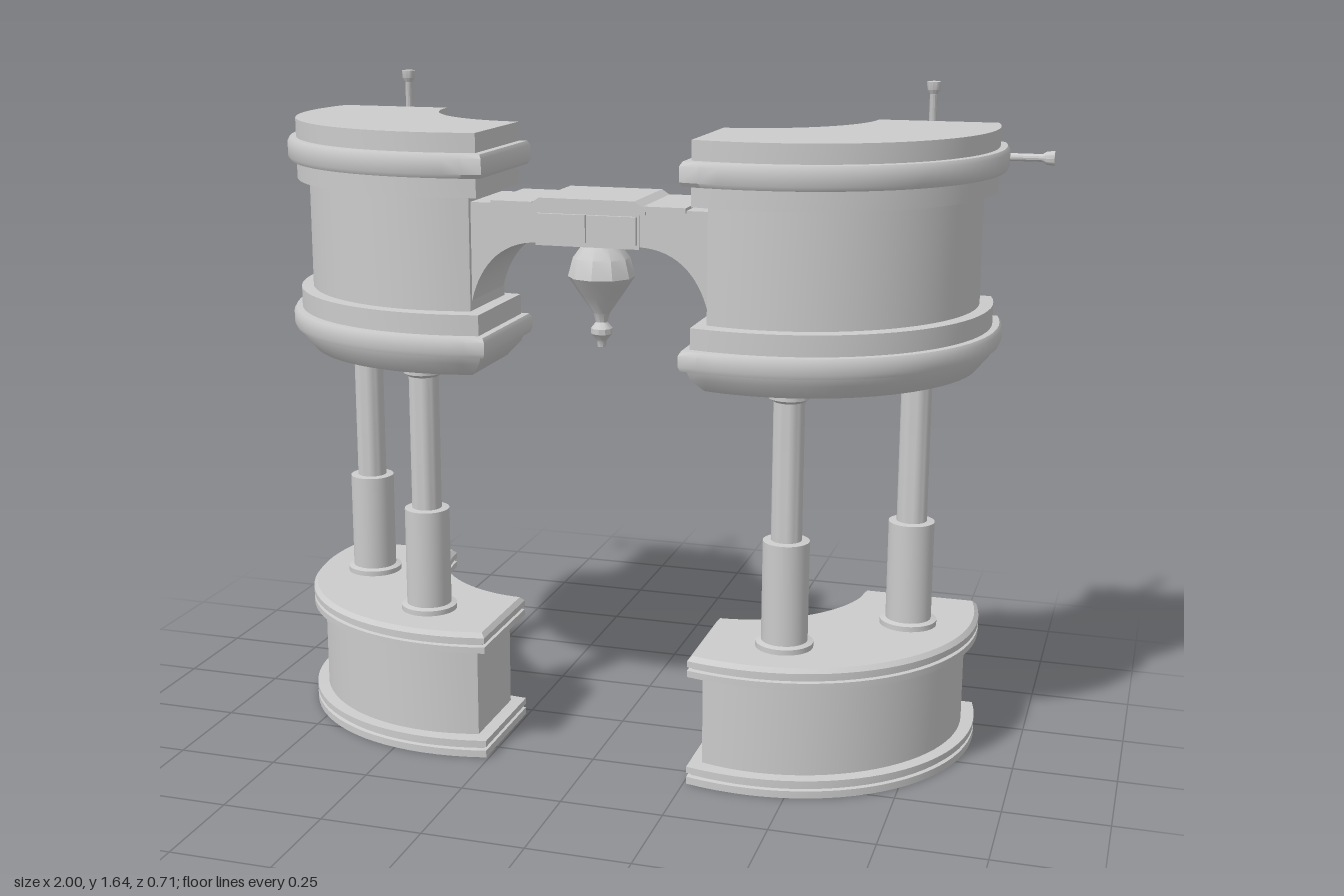
import * as THREE from 'three';
import { toCreasedNormals } from 'three/addons/utils/BufferGeometryUtils.js';

const material = new THREE.MeshStandardMaterial({ color: 0xcccccc });

function add(parent, name, geometry, x = 0, y = 0, z = 0) {
  const mesh = new THREE.Mesh(geometry, material);
  mesh.name = name;
  mesh.position.set(x, y, z);
  parent.add(mesh);
  return mesh;
}

// Curved quarter-bend footprint, drawn in by d on every side
function footprint(d) {
  const v = (x, z) => new THREE.Vector2(x + 0.235, z - 0.31);
  const o = 0.65 - d, oc = 0.75 - d, ob = 0.43 - 0.85 * d;
  const i = 0.315 + d, ic = 0.31 + d, ib = 0.19 + 0.22 * d;
  const outer = new THREE.CubicBezierCurve(v(o, d), v(oc, ob), v(ob, oc), v(d, o));
  const inner = new THREE.CubicBezierCurve(v(d, i), v(ib, ic), v(ic, ib), v(i, d));
  return [...outer.getPoints(28), ...inner.getPoints(28)];
}

// Stacks footprints along a profile of [height, inset] and closes both ends
function loft(profile) {
  const rings = profile.map(([, d]) => footprint(d));
  const n = rings[0].length, last = (rings.length - 1) * n;
  const positions = [], index = [];
  rings.forEach((ring, r) => ring.forEach(p => positions.push(p.x, profile[r][0], p.y)));
  for (let r = 0; r < rings.length - 1; r++) {
    for (let i = 0; i < n; i++) {
      const a = r * n + i, b = r * n + (i + 1) % n;
      index.push(a, a + n, b, b, a + n, b + n);
    }
  }
  for (const [a, b, c] of THREE.ShapeUtils.triangulateShape(rings[0], [])) index.push(a, b, c);
  for (const [a, b, c] of THREE.ShapeUtils.triangulateShape(rings.at(-1), [])) {
    index.push(last + a, last + c, last + b);
  }
  const g = new THREE.BufferGeometry();
  g.setAttribute('position', new THREE.Float32BufferAttribute(positions, 3));
  g.setIndex(index);
  return toCreasedNormals(g, 0.6);
}

function lathe(points, segments = 24) {
  const g = new THREE.LatheGeometry(points.map(([r, y]) => new THREE.Vector2(r, y)), segments);
  return toCreasedNormals(g, 0.6);
}

// Box whose lower end is narrowed and shifted
function taperedBox(w, h, d, scaleX, scaleZ, shiftZ) {
  const g = new THREE.BoxGeometry(w, h, d).toNonIndexed();
  const p = g.attributes.position;
  for (let i = 0; i < p.count; i++) {
    if (p.getY(i) < 0) {
      p.setX(i, p.getX(i) * scaleX);
      p.setZ(i, p.getZ(i) * scaleZ + shiftZ);
    }
  }
  g.computeVertexNormals();
  return g;
}

// Valve with an upright and a crosswise rod on the back end of a tower
function makeValve() {
  const valve = new THREE.Group();
  valve.name = 'valve';
  const z = -0.33;
  add(valve, 'uprightRod', lathe([[0, 1.28], [0.0095, 1.28], [0.0095, 1.605], [0.016, 1.615],
    [0.018, 1.635], [0, 1.637]], 12), 0.697, 0, z);
  const cross = add(valve, 'crossRod', lathe([[0, -0.1], [0.016, -0.07], [0.007, -0.055], [0.0095, -0.04],
    [0.0095, 0.27], [0.016, 0.28], [0.018, 0.3], [0, 0.303]], 12), 0.697, 1.457, z);
  cross.rotation.z = -Math.PI / 2;
  add(valve, 'hub', new THREE.SphereGeometry(0.022, 12, 8), 0.697, 1.457, z).scale.set(1.5, 0.8, 1);
  add(valve, 'spout', taperedBox(0.075, 0.105, 0.074, 0.8, 0.5, 0.015), 0.697, 1.262, -0.317);
  add(valve, 'spoutRing', lathe([[0, -0.02], [0.013, -0.02], [0.018, -0.012], [0.011, -0.002],
    [0.02, 0.008], [0.02, 0.018], [0, 0.02]], 12), 0.697, 1.192, -0.3);
  return valve;
}

// One curved tower: base, two columns and the upper drum
function makeTower() {
  const tower = new THREE.Group();
  add(tower, 'base', loft([[0, 0.022], [0.018, 0.022], [0.02, 0.032], [0.026, 0.032], [0.028, 0.022],
    [0.044, 0.022], [0.046, 0.053], [0.272, 0.053], [0.274, 0.022], [0.29, 0.022], [0.292, 0.032],
    [0.297, 0.032], [0.299, 0.022], [0.314, 0.022], [0.325, 0.032]]));
  for (const [x, z] of [[0.46, 0.175], [0.72, -0.07]]) {
    add(tower, 'column', lathe([[0, 0.32], [0.07, 0.32], [0.07, 0.338], [0.056, 0.342], [0.056, 0.59],
      [0.037, 0.592], [0.037, 0.93], [0.049, 0.938], [0.049, 0.962], [0.04, 0.972], [0, 0.972]], 28), x, 0, z);
  }
  add(tower, 'drum', loft([[0.967, 0.05], [1.0, 0.022], [1.019, 0.016], [1.02, 0.004], [1.03, 0],
    [1.057, 0], [1.067, 0.006], [1.068, 0.022], [1.118, 0.022], [1.12, 0.053], [1.392, 0.053],
    [1.393, 0.022], [1.438, 0.022], [1.44, 0.006], [1.45, 0], [1.486, 0], [1.496, 0.006],
    [1.497, 0.022], [1.543, 0.022]]));
  tower.add(makeValve());
  return tower;
}

// Arched beam between the towers with its centre block and pendant
function makeBridge() {
  const bridge = new THREE.Group();
  bridge.name = 'bridge';
  const s = new THREE.Shape();
  s.moveTo(-0.292, 1.378);
  s.lineTo(-0.292, 1.125);
  s.bezierCurveTo(-0.275, 1.22, -0.22, 1.29, -0.12, 1.29);
  s.lineTo(0.12, 1.29);
  s.bezierCurveTo(0.22, 1.29, 0.275, 1.22, 0.292, 1.125);
  s.lineTo(0.292, 1.378);
  const arch = new THREE.ExtrudeGeometry(s, { depth: 0.21, bevelEnabled: false, curveSegments: 16 });
  add(bridge, 'arch', toCreasedNormals(arch, 0.5), 0, 0, 0.065);
  for (const side of [-1, 1]) {
    add(bridge, 'archRib', new THREE.BoxGeometry(0.1, 0.012, 0.224), side * 0.185, 1.379, 0.17);
    for (const z of [0.056, 0.284]) {
      add(bridge, 'facePlate', new THREE.BoxGeometry(0.118, 0.065, 0.012), side * 0.061, 1.328, z);
    }
  }
  add(bridge, 'centreBlock', new THREE.BoxGeometry(0.25, 0.08, 0.222), 0, 1.325, 0.17);
  const cap = new THREE.Shape([[-0.14, 1.365], [0.14, 1.365], [0.14, 1.38], [0.115, 1.396],
    [-0.115, 1.396], [-0.14, 1.38]].map(([x, y]) => new THREE.Vector2(x, y)));
  add(bridge, 'centreCap', new THREE.ExtrudeGeometry(cap, { depth: 0.23, bevelEnabled: false }), 0, 0, 0.055);
  add(bridge, 'pendant', lathe([[0, 1.03], [0.01, 1.03], [0.012, 1.045], [0.026, 1.062], [0.026, 1.075],
    [0.014, 1.09], [0.02, 1.112], [0.05, 1.155], [0.08, 1.2], [0.068, 1.245], [0.042, 1.28], [0.042, 1.295],
    [0, 1.295]], 10), 0, 0, 0.17);
  return bridge;
}

export function createModel() {
  const model = new THREE.Group();
  model.name = 'twinTowers';
  const left = makeTower();
  left.name = 'leftTower';
  const right = makeTower();
  right.name = 'rightTower';
  right.scale.x = -1;
  model.add(left, right, makeBridge());
  return model;
}
